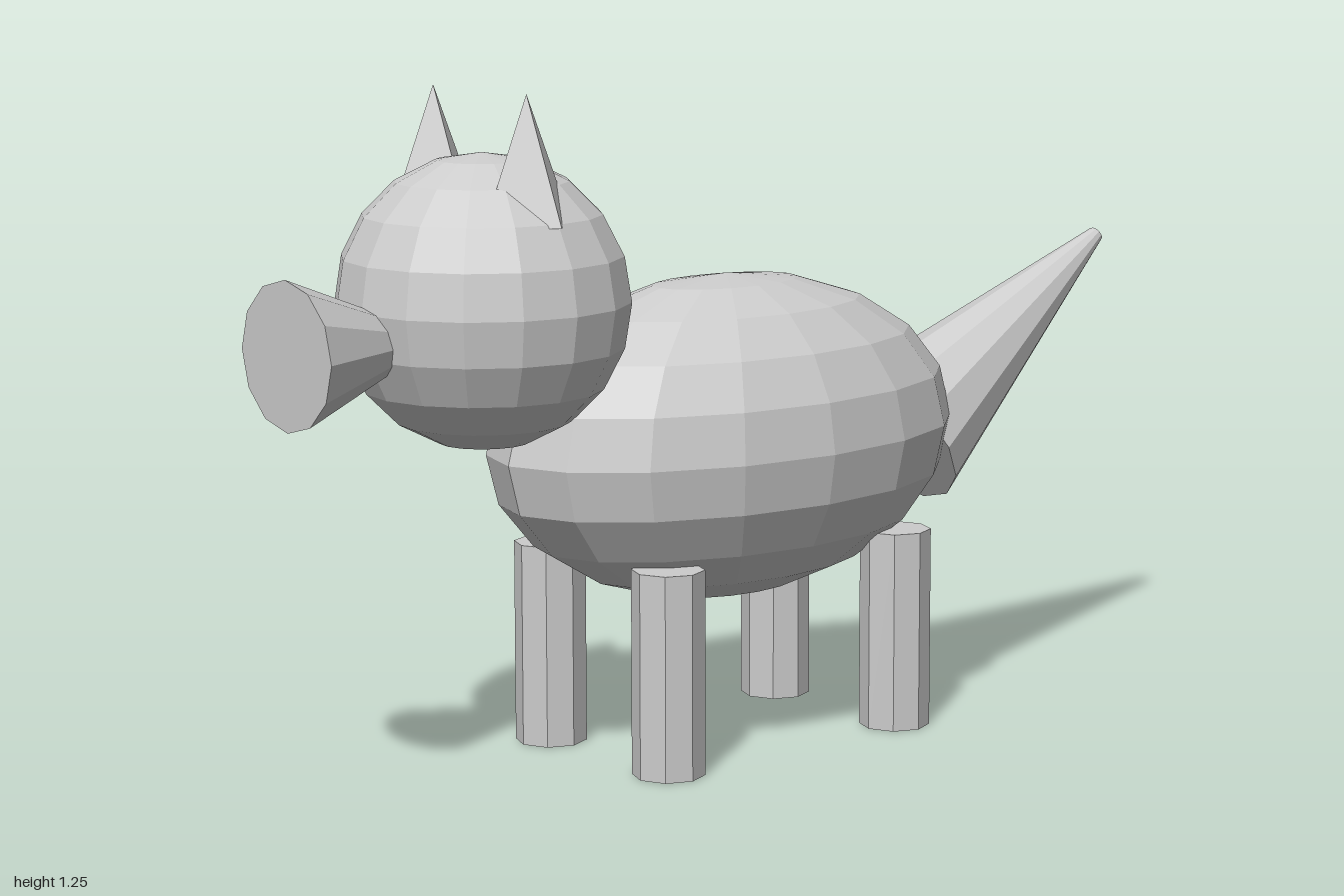
import * as THREE from 'three';

export function createModel() {
  const model = new THREE.Group();
  const grey = new THREE.MeshStandardMaterial({ color: 0xcccccc });
  grey.name = 'light grey';
  grey.flatShading = true;

  function add(name, geometry, x = 0, y = 0, z = 0) {
    const mesh = new THREE.Mesh(geometry, grey);
    mesh.name = name;
    mesh.position.set(x, y, z);
    model.add(mesh);
    return mesh;
  }

  // Tapered cylinder running from point a to point b
  function taper(name, a, b, radiusA, radiusB, sides) {
    const axis = b.clone().sub(a);
    const mesh = add(name, new THREE.CylinderGeometry(radiusB, radiusA, axis.length(), sides));
    mesh.position.copy(a).add(b).multiplyScalar(0.5);
    mesh.quaternion.setFromUnitVectors(new THREE.Vector3(0, 1, 0), axis.normalize());
    return mesh;
  }

  // Faceted body, stretched front to back
  const body = new THREE.SphereGeometry(0.303, 16, 10);
  body.scale(1, 1, 1.7);
  add('body', body, 0, 0.573, 0.01);

  // Head
  add('head', new THREE.SphereGeometry(0.264, 16, 10), 0, 0.876, 0.578);

  // Snout, flaring towards its flat front
  taper('snout', new THREE.Vector3(0, 0.82, 0.74), new THREE.Vector3(0, 0.82, 1), 0.03, 0.132, 12);

  // Tail, rising backwards to a blunt tip
  taper('tail', new THREE.Vector3(0, 0.513, -0.43), new THREE.Vector3(0, 0.866, -0.99), 0.15, 0.016, 12);

  for (const [side, sign] of [['left', 1], ['right', -1]]) {
    // Four-sided pointed ears
    add(side + 'Ear', new THREE.ConeGeometry(0.095, 0.225, 4), sign * 0.133, 1.138, 0.582);

    // Octagonal legs
    const leg = new THREE.CylinderGeometry(0.067, 0.067, 0.38, 8);
    add(side + 'FrontLeg', leg, sign * 0.17, 0.19, 0.296);
    add(side + 'BackLeg', leg, sign * 0.17, 0.19, -0.27);
  }

  return model;
}
